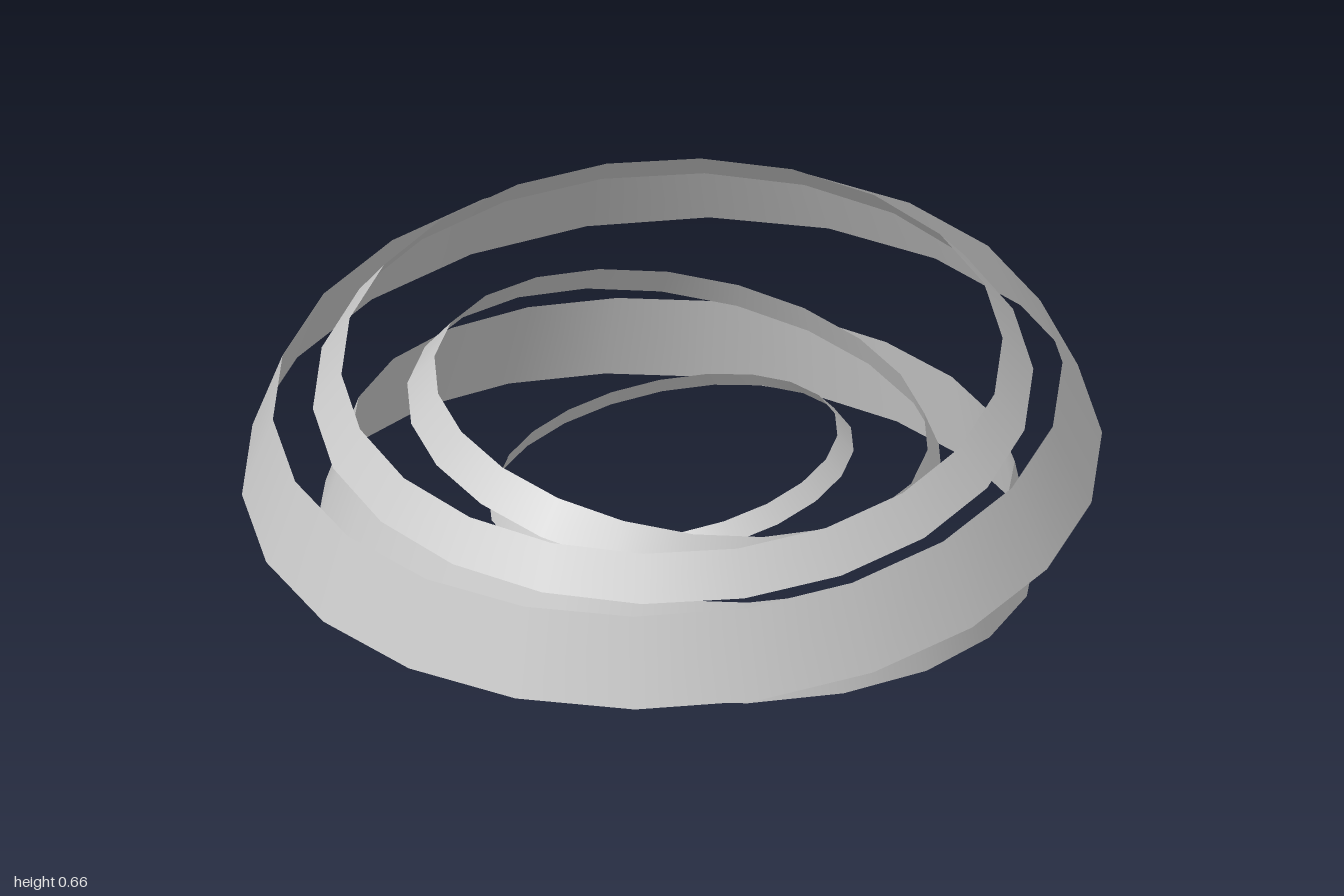
import * as THREE from 'three';

const SIDES = 22;
const HALF_STEP = Math.PI / SIDES;
const UP = new THREE.Vector3(0, 1, 0);

// Open tapered band. base = centre of the lower rim,
// slopeX / slopeZ = rise of the rim per unit along x and z.
function makeBand(material, { name, base, bottom, top, height, slopeX, slopeZ, spin = 0 }) {
  const geometry = new THREE.CylinderGeometry(top, bottom, height, SIDES, 1, true);
  geometry.rotateY(spin);
  geometry.translate(0, height / 2, 0);
  const band = new THREE.Mesh(geometry, material);
  band.name = name;
  band.position.set(...base);
  const normal = new THREE.Vector3(-slopeX, 1, -slopeZ).normalize();
  band.quaternion.setFromUnitVectors(UP, normal);
  return band;
}

export function createModel() {
  const group = new THREE.Group();
  group.name = 'nestedRings';
  const material = new THREE.MeshStandardMaterial({ color: 0xcccccc, side: THREE.DoubleSide });

  const bands = [
    // Widest band, around the middle
    { name: 'outerRing', base: [0, 0.265, 0], bottom: 1.0, top: 0.918, height: 0.205,
      slopeX: 0.09, slopeZ: -0.066 },
    // Lowest band, carrying the stack
    { name: 'baseRing', base: [0.013, 0.061, -0.004], bottom: 0.837, top: 0.773, height: 0.23,
      slopeX: -0.073, slopeZ: 0 },
    // Highest band
    { name: 'upperRing', base: [0.005, 0.46, -0.004], bottom: 0.837, top: 0.768, height: 0.094,
      slopeX: 0.087, slopeZ: -0.107 },
    // Two thin inner bands
    { name: 'middleRing', base: [0.012, 0.336, -0.008], bottom: 0.632, top: 0.582, height: 0.085,
      slopeX: -0.13, slopeZ: -0.11, spin: HALF_STEP },
    { name: 'innerRing', base: [0.005, 0.23, -0.013], bottom: 0.432, top: 0.402, height: 0.045,
      slopeX: 0.15, slopeZ: 0.12, spin: HALF_STEP },
  ];
  for (const band of bands) group.add(makeBand(material, band));
  return group;
}
